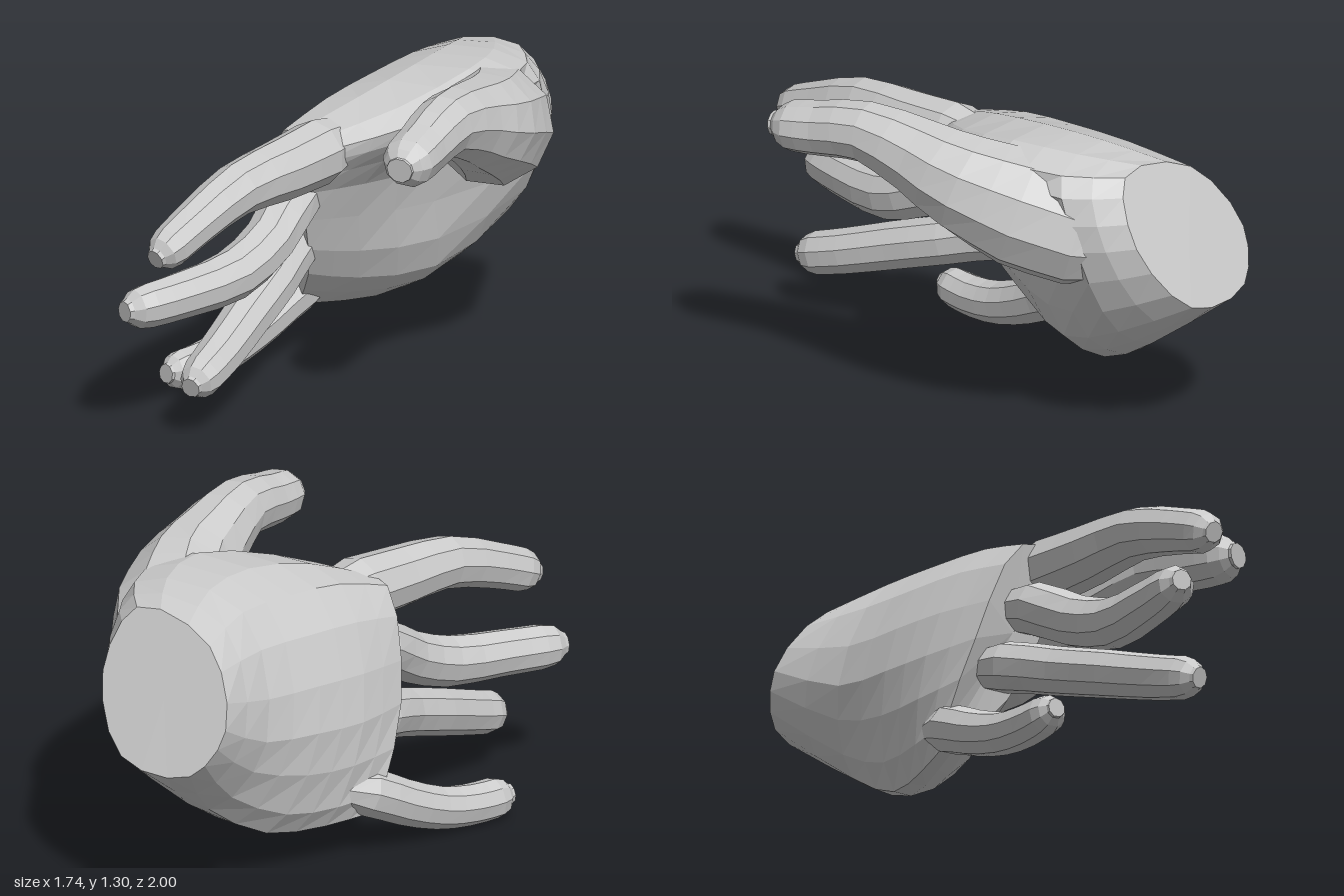
import * as THREE from 'three';

const V = (p) => new THREE.Vector3(...p);
const material = new THREE.MeshStandardMaterial({ color: 0xcccccc, flatShading: true });

// Skin a list of rings (equal point counts) and close both ends.
function loft(rings, name) {
  const n = rings[0].length;
  const pos = rings.flatMap((ring) => ring.flatMap((p) => p.toArray()));
  const index = [];
  for (let r = 0; r < rings.length - 1; r++) {
    for (let i = 0; i < n; i++) {
      const a = r * n + i, b = r * n + (i + 1) % n;
      index.push(a, b, a + n, b, b + n, a + n);
    }
  }
  [0, rings.length - 1].forEach((r, end) => {
    const centre = rings[r].reduce((s, p) => s.add(p), new THREE.Vector3()).divideScalar(n);
    const c = pos.length / 3;
    pos.push(...centre.toArray());
    for (let i = 0; i < n; i++) {
      const a = r * n + i, b = r * n + (i + 1) % n;
      if (end) index.push(c, a, b);
      else index.push(c, b, a);
    }
  });
  const indexed = new THREE.BufferGeometry();
  indexed.setAttribute('position', new THREE.Float32BufferAttribute(pos, 3));
  indexed.setIndex(index);
  const geometry = indexed.toNonIndexed();
  geometry.computeVertexNormals();
  const mesh = new THREE.Mesh(geometry, material);
  mesh.name = name;
  return mesh;
}

// Digit: round sections along a smooth centreline with a domed, slightly flattened tip.
// Each node is [x, y, z, radius].
function digit(name, nodes, sides, back) {
  const curve = new THREE.CatmullRomCurve3(nodes.map((k) => V(k.slice(0, 3))));
  const segs = nodes.length - 1;
  const ts = [];
  for (let s = 0; s < segs; s++) {
    const steps = s < segs - 1 ? [0, 0.5] : [0, 0.35, 0.62, 0.82, 0.94, 1];
    steps.forEach((f) => ts.push((s + f) / segs));
  }
  const tip = curve.getPoint(1);
  const rings = ts.map((t) => {
    const s = Math.min(Math.floor(t * segs), segs - 1);
    const f = t * segs - s;
    const centre = curve.getPoint(t);
    let r = THREE.MathUtils.lerp(nodes[s][3], nodes[s + 1][3], f);
    const d = Math.min(1, centre.distanceTo(tip) / r);
    r *= Math.max(0.5, Math.sqrt(1 - (1 - d) ** 2));
    const axis = curve.getTangent(t);
    const u = back.clone().addScaledVector(axis, -back.dot(axis)).normalize();
    const v = axis.clone().cross(u);
    const nail = s === segs - 1 ? 1 - 0.15 * f : 1;
    return Array.from({ length: sides }, (_, i) => {
      const a = ((i + 0.5) / sides) * Math.PI * 2;
      const c = Math.cos(a);
      return centre.clone()
        .addScaledVector(u, c * r * (c > 0 ? nail : 1))
        .addScaledVector(v, Math.sin(a) * r);
    });
  });
  return loft(rings, name);
}

// Palm sections from wrist cut to knuckles:
// thumb edge, back (thumb half), back (little half), little edge, palm (little half), palm (thumb half)
const palmSections = [
  [[0.73, 1.16, -0.53], [0.42, 1.09, -0.76], [0.34, 0.81, -0.96], [0.48, 0.62, -0.98], [0.77, 0.63, -0.8], [0.86, 0.91, -0.59]],
  [[0.76, 1.17, -0.28], [0.31, 1.14, -0.5], [0.2, 0.66, -0.68], [0.43, 0.36, -0.66], [0.69, 0.48, -0.5], [0.83, 0.87, -0.35]],
  [[0.65, 1.18, 0.0], [0.14, 1.13, -0.27], [0.01, 0.62, -0.46], [0.22, 0.19, -0.46], [0.4, 0.33, -0.25], [0.4, 0.8, -0.1]],
  [[0.33, 1.09, 0.23], [-0.04, 1.1, -0.05], [-0.15, 0.6, -0.27], [0.0, 0.17, -0.31], [0.09, 0.34, -0.08], [0.11, 0.8, 0.12]],
  [[-0.04, 1.0, 0.3], [-0.21, 1.03, 0.13], [-0.28, 0.6, -0.05], [-0.18, 0.19, -0.19], [-0.11, 0.4, 0.05], [-0.12, 0.8, 0.24]],
];

function palm() {
  const sides = 18, rows = 9;
  const outlines = palmSections.map((s) =>
    new THREE.CatmullRomCurve3(s.map(V), true).getPoints(sides).slice(0, sides));
  const ribs = outlines[0].map((_, i) => new THREE.CatmullRomCurve3(outlines.map((o) => o[i])));
  const rings = Array.from({ length: rows }, (_, r) => ribs.map((rib) => rib.getPoint(r / (rows - 1))));
  return loft(rings, 'palm');
}

export function createModel() {
  const hand = new THREE.Group();
  hand.name = 'hand';
  hand.add(palm());

  // Fingers, each rooted inside the palm
  const back = V([-0.75, 0.4, -0.51]);
  const digits = {
    indexFinger: [[0.13, 0.99, -0.04, 0.06], [-0.08, 0.97, 0.23, 0.135], [-0.23, 0.96, 0.42, 0.125],
      [-0.4, 0.95, 0.62, 0.108], [-0.57, 0.87, 0.81, 0.094], [-0.73, 0.78, 0.98, 0.087]],
    middleFinger: [[-0.02, 0.81, -0.12, 0.05], [-0.17, 0.76, 0.17, 0.11], [-0.27, 0.645, 0.36, 0.106],
      [-0.41, 0.565, 0.53, 0.105], [-0.61, 0.54, 0.7, 0.096], [-0.85, 0.525, 0.87, 0.09]],
    ringFinger: [[-0.06, 0.55, -0.2, 0.05], [-0.18, 0.51, 0.06, 0.105], [-0.26, 0.44, 0.28, 0.1],
      [-0.37, 0.36, 0.5, 0.098], [-0.47, 0.285, 0.7, 0.093], [-0.59, 0.215, 0.9, 0.088]],
    littleFinger: [[0.02, 0.33, -0.29, 0.05], [-0.15, 0.27, -0.17, 0.1], [-0.28, 0.185, -0.05, 0.094],
      [-0.41, 0.115, 0.08, 0.088], [-0.53, 0.085, 0.2, 0.085], [-0.68, 0.085, 0.34, 0.083]],
  };
  for (const [name, nodes] of Object.entries(digits)) hand.add(digit(name, nodes, 9, back));

  // Thumb, including the fleshy mound at its root
  hand.add(digit('thumb', [[0.62, 0.85, -0.54, 0.17], [0.62, 0.89, -0.33, 0.235], [0.62, 0.97, -0.1, 0.245],
    [0.59, 1.05, 0.12, 0.205], [0.51, 1.125, 0.32, 0.16], [0.42, 1.18, 0.53, 0.125],
    [0.33, 1.15, 0.72, 0.112], [0.24, 1.13, 0.92, 0.11]], 10, V([0.1, 1, 0])));
  return hand;
}
